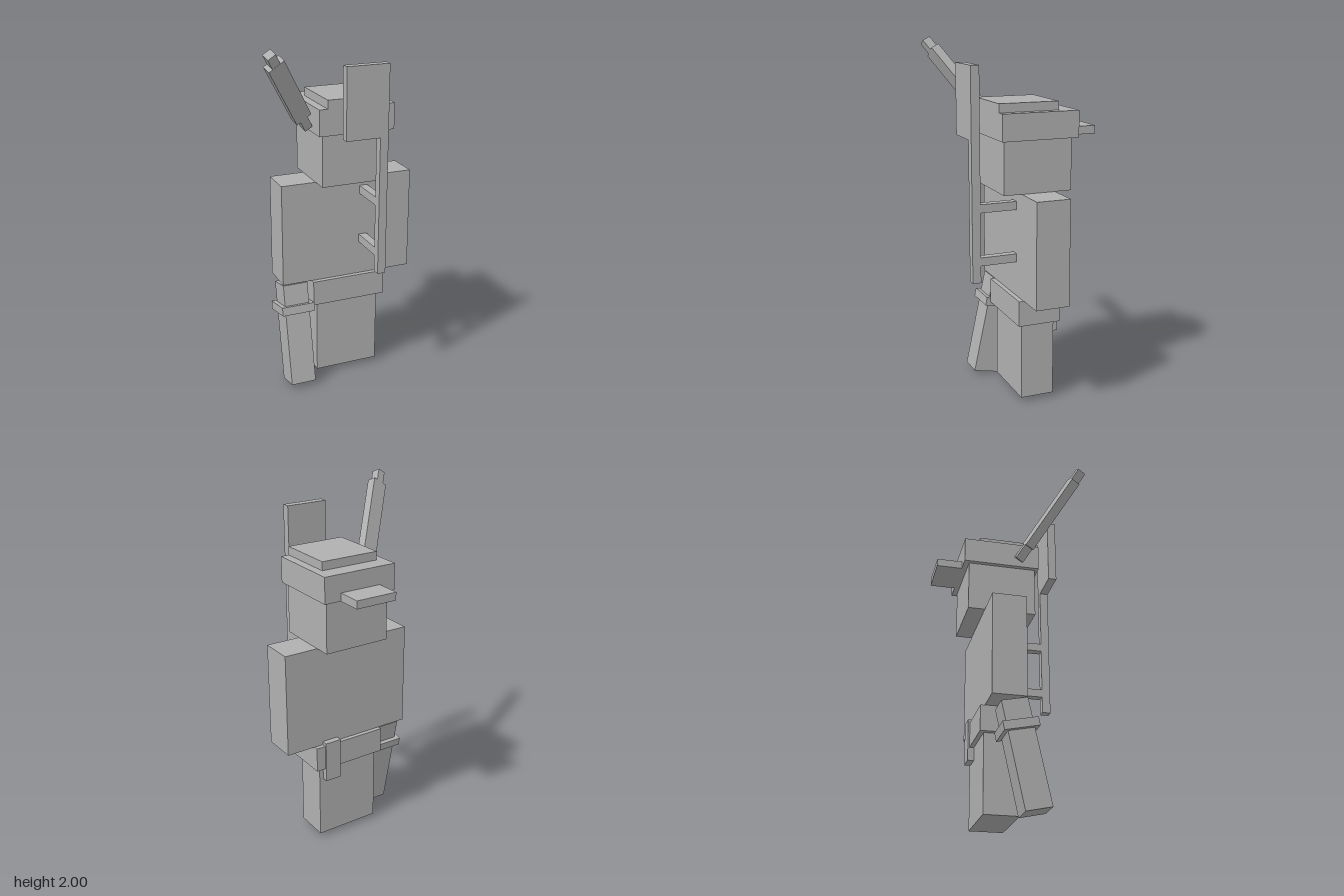
import * as THREE from 'three';

const grey = new THREE.MeshStandardMaterial({ color: 0xb0b0b0 });
grey.name = 'grey';

// Box centred on a point
function block(name, size, centre) {
  const mesh = new THREE.Mesh(new THREE.BoxGeometry(...size), grey);
  mesh.name = name;
  mesh.position.set(...centre);
  return mesh;
}

// Box given by its extents on each axis
function span(name, [x0, x1], [y0, y1], [z0, z1]) {
  return block(name, [x1 - x0, y1 - y0, z1 - z0], [(x0 + x1) / 2, (y0 + y1) / 2, (z0 + z1) / 2]);
}

export function createModel() {
  const model = new THREE.Group();
  model.name = 'blockFigure';

  // Head and backward cap
  model.add(
    span('head', [-0.105, 0.28], [1.2, 1.49], [-0.215, 0.175]),
    span('capBand', [-0.13, 0.307], [1.49, 1.636], [-0.245, 0.194]),
    span('capTop', [-0.082, 0.259], [1.636, 1.684], [-0.147, 0.194]),
    span('capBrim', [-0.034, 0.21], [1.49, 1.535], [-0.39, -0.245]),
  );

  // Trunk, belt and straight leg
  model.add(
    span('torso', [-0.304, 0.477], [0.61, 1.2], [-0.12, 0.073]),
    span('belt', [-0.13, 0.307], [0.465, 0.61], [-0.145, 0.1]),
    span('straightLeg', [-0.1, 0.277], [0.025, 0.465], [-0.12, 0.073]),
    span('backStrap', [0.157, 0.253], [0.39, 0.63], [-0.155, -0.12]),
  );

  // Upright post with panel, held off the chest by two brackets
  const post = new THREE.Group();
  post.name = 'post';
  post.add(
    span('postShaft', [0.16, 0.207], [0.71, 1.88], [0.281, 0.329]),
    span('postPanel', [-0.034, 0.16], [1.49, 1.88], [0.281, 0.329]),
  );
  for (const y of [0.805, 1.1]) {
    post.add(span('postBracket', [0.16, 0.207], [y, y + 0.047], [0.073, 0.281]));
  }
  model.add(post);

  // Small leg swung forward, with its cuff
  const swungLeg = new THREE.Group();
  swungLeg.name = 'swungLeg';
  swungLeg.position.set(-0.231, 0.303, 0.062);
  swungLeg.rotation.x = -0.21;
  swungLeg.add(
    block('swungLegShaft', [0.145, 0.588, 0.146], [0, 0, 0]),
    block('swungLegCuff', [0.194, 0.048, 0.194], [0, 0.15, 0]),
  );
  model.add(swungLeg);

  // Raised rod with a broader sleeve
  const rod = new THREE.Group();
  rod.name = 'raisedRod';
  rod.position.set(-0.305, 1.748, 0.217);
  rod.rotation.set(0.5, 0, 0.585, 'ZYX');
  rod.add(
    block('rodCore', [0.048, 0.622, 0.05], [0, 0, 0]),
    block('rodSleeve', [0.096, 0.46, 0.052], [0, 0.01, 0]),
  );
  model.add(rod);

  return model;
}
